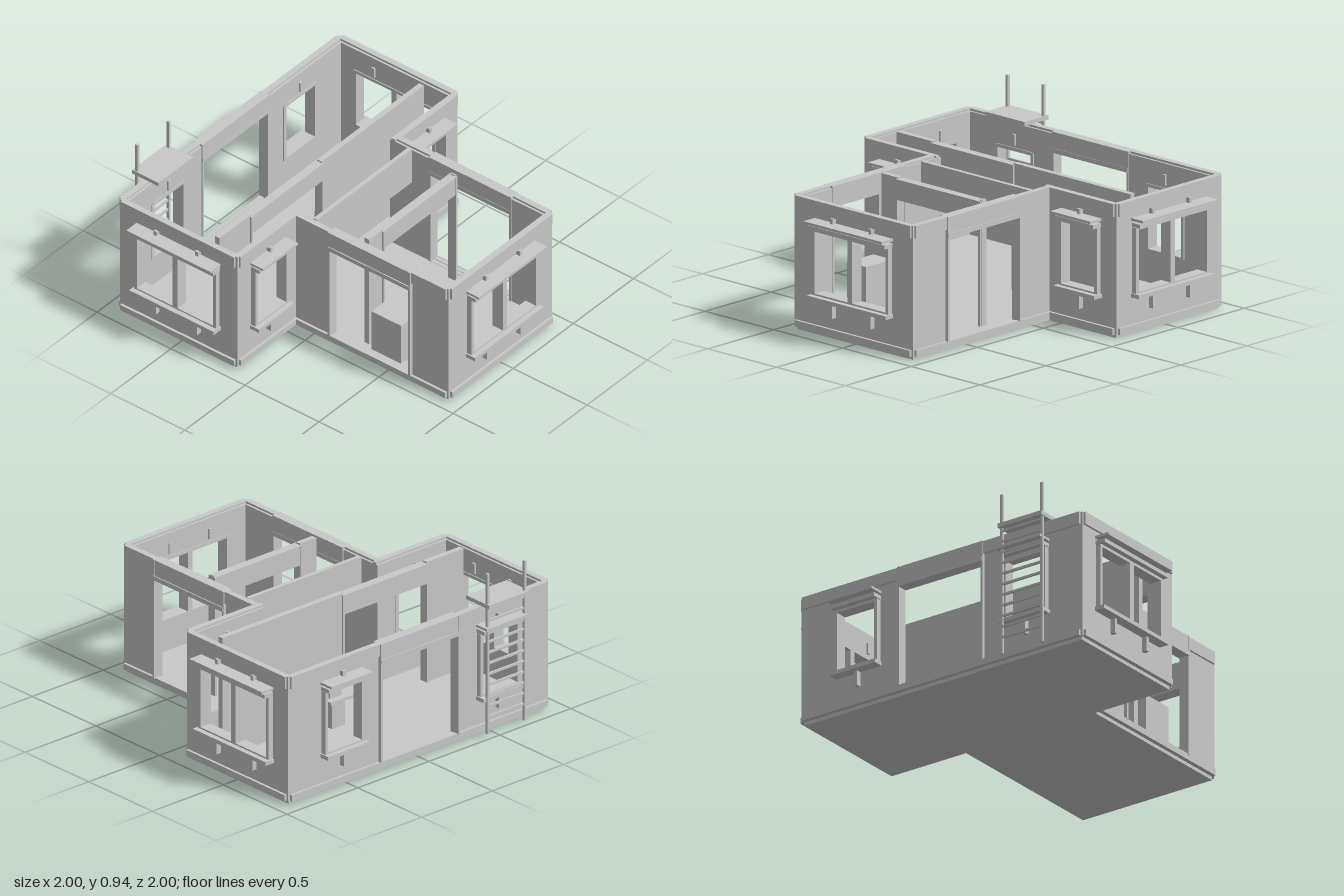
import * as THREE from 'three';

const grey = new THREE.MeshStandardMaterial({ color: 0xc8c8c8 });
grey.name = 'plaster grey';

// Box given by its min/max limits on each axis
function box(parent, name, x0, x1, y0, y1, z0, z1) {
  const mesh = new THREE.Mesh(new THREE.BoxGeometry(x1 - x0, y1 - y0, z1 - z0), grey);
  mesh.position.set((x0 + x1) / 2, (y0 + y1) / 2, (z0 + z1) / 2);
  mesh.name = name;
  parent.add(mesh);
}

// T-shaped slab; d moves the outline inwards
function slab(parent, name, y0, y1, d) {
  const a = 0.925 - d, b = 0.44 - d;
  const pts = [[-a, -a], [a, -a], [a, -0.11 - d], [b, -0.11 - d], [b, a], [-b, a], [-b, -0.11 - d], [-a, -0.11 - d]];
  const shape = new THREE.Shape(pts.map(([x, z]) => new THREE.Vector2(x, -z)));
  const geo = new THREE.ExtrudeGeometry(shape, { depth: y1 - y0, bevelEnabled: false });
  geo.rotateX(-Math.PI / 2);
  const mesh = new THREE.Mesh(geo, grey);
  mesh.position.y = y0;
  mesh.name = name;
  parent.add(mesh);
}

const TOP = 0.735;

// Window trim in wall space: z = 0 is the outer wall face, panes = 1 or 2
function windowTrim(wall, u, panes) {
  const g = new THREE.Group();
  g.name = 'window';
  g.position.x = u;
  wall.add(g);
  const h = panes === 2 ? 0.268 : 0.13;
  for (const s of [-1, 1]) {
    const e = s * h;
    box(g, 'windowJamb', e - 0.01, e + 0.01, 0.225, 0.585, -0.04, 0.03);
  }
  if (panes === 2) box(g, 'windowMullion', -0.017, 0.017, 0.225, 0.575, -0.04, 0.03);
  box(g, 'windowBottomRail', -h, h, 0.222, 0.234, -0.04, 0.03);
  box(g, 'windowTopRail', -h, h, 0.572, 0.59, -0.04, 0.03);
  box(g, 'windowSill', -h - 0.018, h + 0.018, 0.203, 0.225, -0.035, 0.06);
  box(g, 'windowHeader', -h - 0.012, h + 0.012, 0.588, 0.61, 0, 0.06);
  box(g, 'windowAwning', -h - 0.016, h + 0.016, 0.622, 0.636, 0, 0.086);
  for (const x of panes === 2 ? [-0.14, 0.14] : [0]) {
    box(g, 'sillBracket', x - 0.01, x + 0.01, 0.12, 0.205, -0.005, 0.03);
    box(g, 'awningBracket', x - 0.01, x + 0.01, 0.605, 0.665, -0.005, 0.025);
    box(g, 'innerBracket', x - 0.01, x + 0.01, 0.605, 0.665, -0.045, -0.03);
  }
}

// Doorway casing with a thicker panel over the opening
function doorTrim(wall, u) {
  const g = new THREE.Group();
  g.name = 'doorway';
  g.position.x = u;
  wall.add(g);
  for (const s of [-1, 1]) {
    const e = s * 0.272;
    box(g, 'doorJamb', e - 0.006, e + 0.006, 0.05, TOP, -0.04, 0.02);
  }
  box(g, 'doorHead', -0.275, 0.275, 0.62, 0.645, -0.042, 0.024);
  box(g, 'doorLintel', -0.27, 0.27, 0.64, TOP, -0.04, 0.018);
}

// Outer wall with holes, inner lining, skirting and cornice; openings are [kind, position]
function outerWall(parent, name, x, z, turn, length, openings) {
  const wall = new THREE.Group();
  wall.name = name;
  wall.position.set(x, 0, z);
  wall.rotation.y = turn;
  parent.add(wall);
  const L = length / 2;
  const rect = (P, x0, x1, y0, y1) => new P([[x0, y0], [x1, y0], [x1, y1], [x0, y1]].map(p => new THREE.Vector2(...p)));
  const holes = [];
  for (const [kind, u] of openings) {
    const h = kind === 'single' ? 0.125 : 0.268;
    holes.push(kind === 'door'
      ? rect(THREE.Path, u - h, u + h, 0.052, 0.62)
      : rect(THREE.Path, u - h, u + h, 0.23, 0.575));
    if (kind === 'door') doorTrim(wall, u);
    else windowTrim(wall, u, kind === 'single' ? 1 : 2);
  }
  for (const [part, top, back, depth] of [['wallPanel', TOP, -0.023, 0.023], ['wallLining', TOP - 0.012, -0.035, 0.012]]) {
    const shape = rect(THREE.Shape, -L, L, 0.02, top);
    shape.holes = holes;
    const geo = new THREE.ExtrudeGeometry(shape, { depth, bevelEnabled: false });
    geo.translate(0, 0, back);
    const panel = new THREE.Mesh(geo, grey);
    panel.name = part;
    wall.add(panel);
  }
  box(wall, 'skirting', -L + 0.012, L - 0.012, 0.02, 0.055, -0.01, 0.015);
  box(wall, 'cornice', -L + 0.012, L - 0.012, 0.665, TOP, -0.01, 0.012);
}

// Inner partition with one framed opening between a and b
function partition(parent, name, x0, x1, a, b, z) {
  const g = new THREE.Group();
  g.name = name;
  parent.add(g);
  box(g, 'partitionPanel', x0, a, 0.05, 0.74, z - 0.016, z + 0.016);
  box(g, 'partitionPanel', b, x1, 0.05, 0.74, z - 0.016, z + 0.016);
  box(g, 'partitionLintel', a, b, 0.62, 0.732, z - 0.025, z + 0.025);
  box(g, 'partitionJamb', a - 0.008, a + 0.006, 0.05, 0.732, z - 0.026, z + 0.026);
  box(g, 'partitionJamb', b - 0.006, b + 0.008, 0.05, 0.732, z - 0.026, z + 0.026);
}

export function createModel() {
  const model = new THREE.Group();
  model.name = 'building';
  slab(model, 'foundation', 0, 0.025, 0.02);
  slab(model, 'floor', 0.02, 0.05, 0.015);

  // Outer walls
  const Q = Math.PI / 2;
  outerWall(model, 'frontWall', 0, 0.914, 0, 0.86, [['double', 0]]);
  outerWall(model, 'backWall', 0, -0.915, Math.PI, 1.83, [['door', 0], ['single', 0.555], ['single', -0.54]]);
  for (const s of [-1, 1]) {
    outerWall(model, 'hallSideWall', s * 0.43, 0.397, s * Q, 1.034, [['door', s * 0.007]]);
    outerWall(model, 'wingFrontWall', s * 0.655, -0.12, 0, 0.52, [['single', s * 0.007]]);
    outerWall(model, 'wingSideWall', s * 0.915, -0.5175, s * Q, 0.795, [['double', 0]]);
  }

  // Inner partitions and the beam where hall and wings meet
  partition(model, 'rearPartition', -0.85, 0.85, -0.59, 0.0, -0.31);
  partition(model, 'frontPartition', -0.365, 0.36, -0.25, 0.35, 0.307);
  box(model, 'crossBeam', -0.395, 0.395, 0.51, 0.73, -0.03, -0.005);

  // Cabinet beside the doorway
  box(model, 'cabinet', -0.39, -0.25, 0.05, 0.3, 0.36, 0.56);

  // Desk with screen and keyboard
  const desk = new THREE.Group();
  desk.name = 'desk';
  model.add(desk);
  box(desk, 'deskTop', 0.01, 0.215, 0.205, 0.222, -0.47, -0.32);
  box(desk, 'deskPedestal', 0.09, 0.18, 0.05, 0.21, -0.44, -0.33);
  box(desk, 'screen', 0.105, 0.185, 0.222, 0.29, -0.43, -0.418);
  box(desk, 'keyboard', 0.105, 0.185, 0.222, 0.234, -0.4, -0.365);

  // Ladder and roof platform at the back
  const ladder = new THREE.Group();
  ladder.name = 'ladder';
  model.add(ladder);
  for (const x of [-0.696, -0.436]) box(ladder, 'ladderRail', x - 0.008, x + 0.008, 0.02, 0.94, -0.983, -0.967);
  for (let i = 0; i < 11; i++) {
    const y = 0.115 + i * 0.0615;
    box(ladder, 'ladderRung', -0.696, -0.436, y - 0.006, y + 0.006, -0.981, -0.969);
  }
  box(ladder, 'platform', -0.71, -0.424, 0.745, 0.768, -1, -0.82);
  return model;
}
